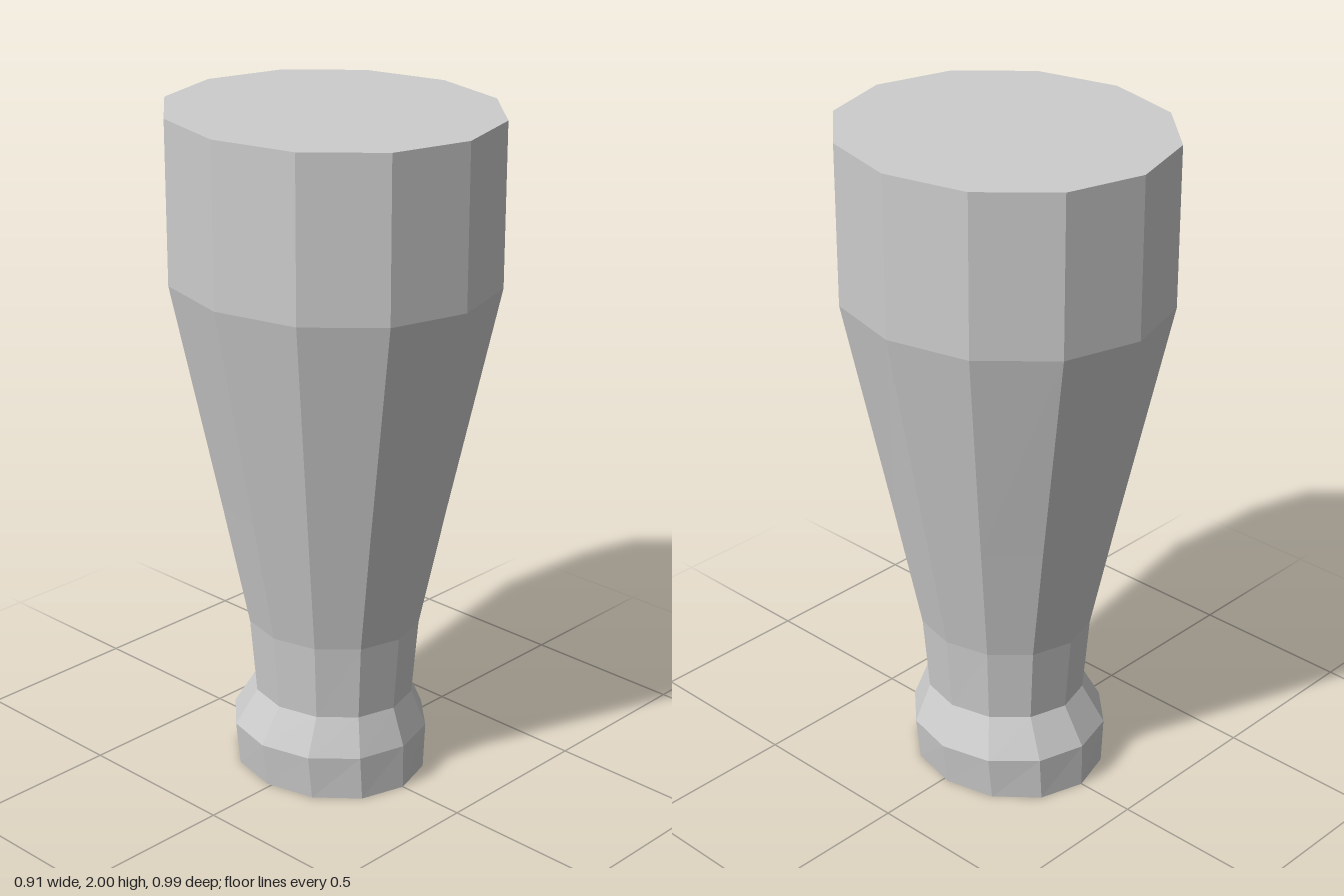
import * as THREE from 'three';

// Rings from top to bottom: height, x radius, z radius, z centre
const RINGS = [
  [2.0, 0.457, 0.495, 0],
  [1.53, 0.457, 0.495, 0],
  [0.86, 0.322, 0.346, 0],
  [0.48, 0.247, 0.265, 0],
  [0.25, 0.228, 0.246, 0],
  [0.137, 0.284, 0.302, -0.015],
  [0, 0.266, 0.302, -0.015],
];

// Twelve-sided closed column whose rows are moved onto the rings
function ringColumn(rings, sides) {
  const rows = rings.length - 1;
  const geometry = new THREE.CylinderGeometry(1, 1, 1, sides, rows);
  const p = geometry.attributes.position;
  for (let i = 0; i < p.count; i++) {
    const [y, rx, rz, cz] = rings[Math.round((0.5 - p.getY(i)) * rows)];
    p.setXYZ(i, p.getX(i) * rx, y, p.getZ(i) * rz + cz);
  }
  const faceted = geometry.toNonIndexed();
  faceted.computeVertexNormals();
  return faceted;
}

export function createModel() {
  const group = new THREE.Group();
  group.name = 'taperedColumn';
  const grey = new THREE.MeshStandardMaterial({ color: 0xcccccc });
  grey.name = 'light grey';

  // Wide head, tapering body, narrow neck and flared foot in one skin
  const body = new THREE.Mesh(ringColumn(RINGS, 12), grey);
  body.name = 'body';
  group.add(body);
  return group;
}
